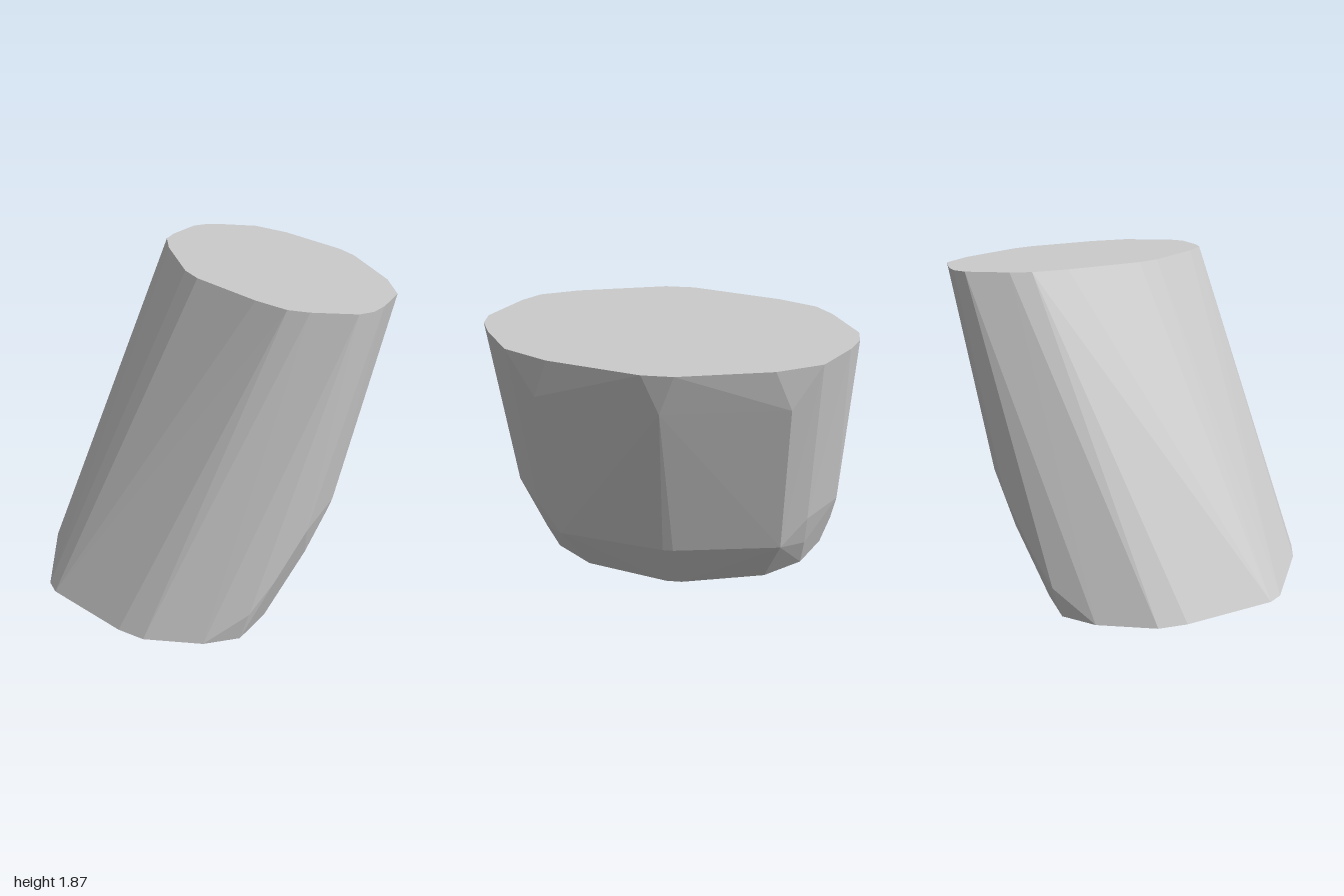
import * as THREE from 'three';
import { ConvexGeometry } from 'three/addons/geometries/ConvexGeometry.js';

// Faceted slanted column: the convex skin over mirrored cross-sections.
export function createModel() {
  const H = 1.866;
  // Each entry is [x, y, z]; every point is mirrored in z.
  const base = [
    [-1, 0.05], [-0.86, 0.37], [-0.785, 0.56], [-0.69, 0.7], [-0.4, 0.885],
    [-0.19, 0.93], [0.04, 0.8], [0.2, 0.57], [0.32, 0.05],
  ].map(([x, z]) => [x, 0, z]);
  const top = [
    [-0.05, 0.08], [0.06, 0.56], [0.135, 0.76], [0.22, 0.845], [0.43, 0.975],
    [0.52, 0.975], [0.62, 0.925], [0.8, 0.79], [0.9, 0.56], [1, 0.08],
  ].map(([x, z]) => [x, H, z]);
  // Bevel corners where the leaning side bends near the base and the top
  const bends = [
    [-0.15, 0.17, 0.96], [0, 0.35, 0.968], [0.19, 0.64, 0.975],
    [0.3, 0.37, 0.8], [0.47, 0.68, 0.795], [0.54, 0.51, 0.65],
    [0.635, 0.51, 0.03], [0.84, 1.62, 0.65], [0.95, 1.62, 0],
  ];

  const points = [];
  for (const [x, y, z] of [...base, ...top, ...bends]) {
    points.push(new THREE.Vector3(x, y, z));
    if (z > 0) points.push(new THREE.Vector3(x, y, -z));
  }

  const column = new THREE.Mesh(
    new ConvexGeometry(points),
    new THREE.MeshStandardMaterial({ color: 0xcccccc, flatShading: true }),
  );
  column.name = 'slantedColumn';

  const group = new THREE.Group();
  group.add(column);
  return group;
}
